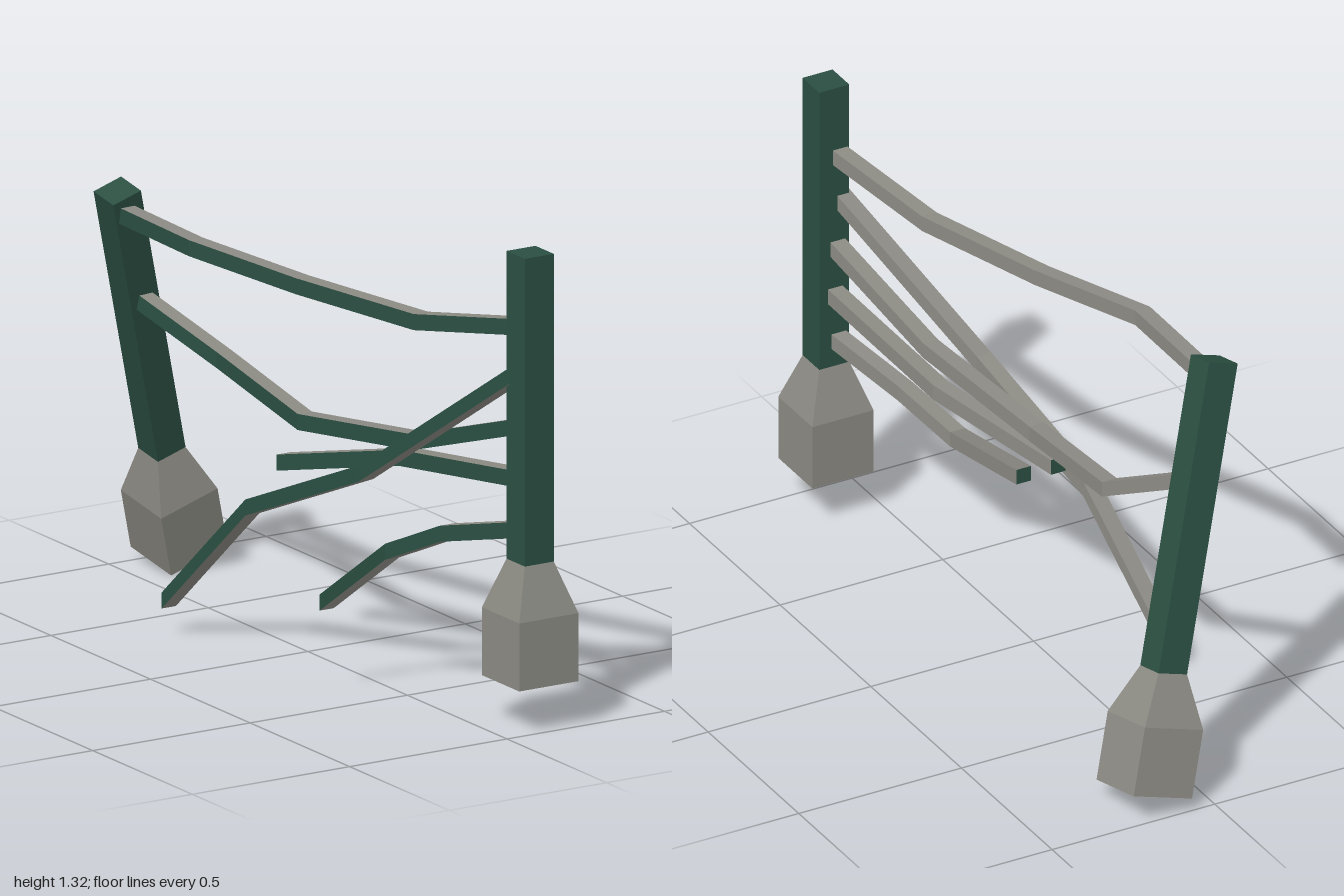
import * as THREE from 'three';

const green = new THREE.MeshStandardMaterial({ color: 0x2b4f42 });
green.name = 'dark green paint';
const stone = new THREE.MeshStandardMaterial({ color: 0x8b8a83, side: THREE.DoubleSide });
stone.name = 'warm grey';

const POST = 0.092;   // post thickness
const FOOT = 0.188;   // footing width
const RAIL = 0.045;   // rail thickness

// Square post on a hollow, tapered footing; the origin is the footing's base
function makePost(name) {
  const group = new THREE.Group();
  group.name = name;

  const post = new THREE.Mesh(new THREE.BoxGeometry(POST, 0.86, POST), green);
  post.name = 'post';
  post.position.y = 0.33 + 0.43;

  const r = Math.SQRT1_2;
  const profile = [[FOOT * r, 0], [FOOT * r, 0.19], [POST * r, 0.33]].map(p => new THREE.Vector2(...p));
  const shell = new THREE.LatheGeometry(profile, 4, Math.PI / 4).toNonIndexed();
  shell.computeVertexNormals();
  const footing = new THREE.Mesh(shell, stone);
  footing.name = 'footing';

  group.add(post, footing);
  return group;
}

// Bent rail: upright square sections joined along a path running front to back.
// greenSides lists the painted faces: bottom, right (+x), top, left (-x), end
const FACES = ['bottom', 'plusX', 'top', 'minusX'];
function makeRail(name, path, greenSides) {
  const h = RAIL / 2;
  const offsets = [[-h, -h], [h, -h], [h, h], [-h, h]];
  const rings = path.map(([x, y, z]) => offsets.map(([dx, dy]) => [x + dx, y + dy, z]));
  const lists = [[], []]; // grey faces, green faces
  const quad = (face, a, b, c, d) =>
    lists[greenSides.includes(face) ? 1 : 0].push(a, b, c, a, c, d);

  for (let i = 0; i < rings.length - 1; i++) {
    FACES.forEach((face, k) => {
      const n = (k + 1) % 4;
      quad(face, rings[i][k], rings[i + 1][k], rings[i + 1][n], rings[i][n]);
    });
  }
  quad('start', ...rings[0]);
  quad('end', ...[...rings[rings.length - 1]].reverse());

  const geometry = new THREE.BufferGeometry();
  geometry.setAttribute('position', new THREE.Float32BufferAttribute(lists.flat(2), 3));
  geometry.addGroup(0, lists[0].length, 0);
  geometry.addGroup(lists[0].length, lists[1].length, 1);
  geometry.computeVertexNormals();
  const mesh = new THREE.Mesh(geometry, [stone, green]);
  mesh.name = name;
  return mesh;
}

export function createModel() {
  const model = new THREE.Group();
  model.name = 'brokenFence';

  // Upright front post and leaning back post
  const frontPost = makePost('frontPost');
  frontPost.position.set(0.133, 0.13, 0.906);
  const backPost = makePost('backPost');
  backPost.position.set(0.166, 0.051, -0.909);
  backPost.rotation.set(0.212, 0, 0.31, 'ZXY');
  model.add(frontPost, backPost);

  // Rails reaching the back post, then the broken ones
  model.add(
    makeRail('topRail', [
      [0.12, 1.11, 0.88], [0.03, 1.05, 0.52], [-0.08, 1.065, 0.1],
      [-0.185, 1.097, -0.27], [-0.18, 1.1, -0.65],
    ], ['minusX']),
    makeRail('saggingRail', [
      [0.125, 0.83, 0.88], [0.06, 0.695, 0.46], [-0.01, 0.65, 0],
      [0.015, 0.71, -0.445], [-0.09, 0.835, -0.7],
    ], ['minusX']),
    makeRail('fallenRail', [
      [0.11, 0.978, 0.88], [-0.09, 0.625, 0.435], [-0.173, 0.435, -0.005], [-0.233, 0.105, -0.33],
    ], ['minusX']),
    makeRail('brokenRail', [
      [0.132, 0.682, 0.88], [0.085, 0.623, 0.36], [-0.065, 0.54, -0.02],
    ], ['minusX', 'bottom', 'end']),
    makeRail('snappedRail', [
      [0.125, 0.542, 0.88], [0.05, 0.48, 0.62], [-0.02, 0.4, 0.455], [-0.187, 0.268, 0.39],
    ], ['minusX', 'end']),
  );
  return model;
}
